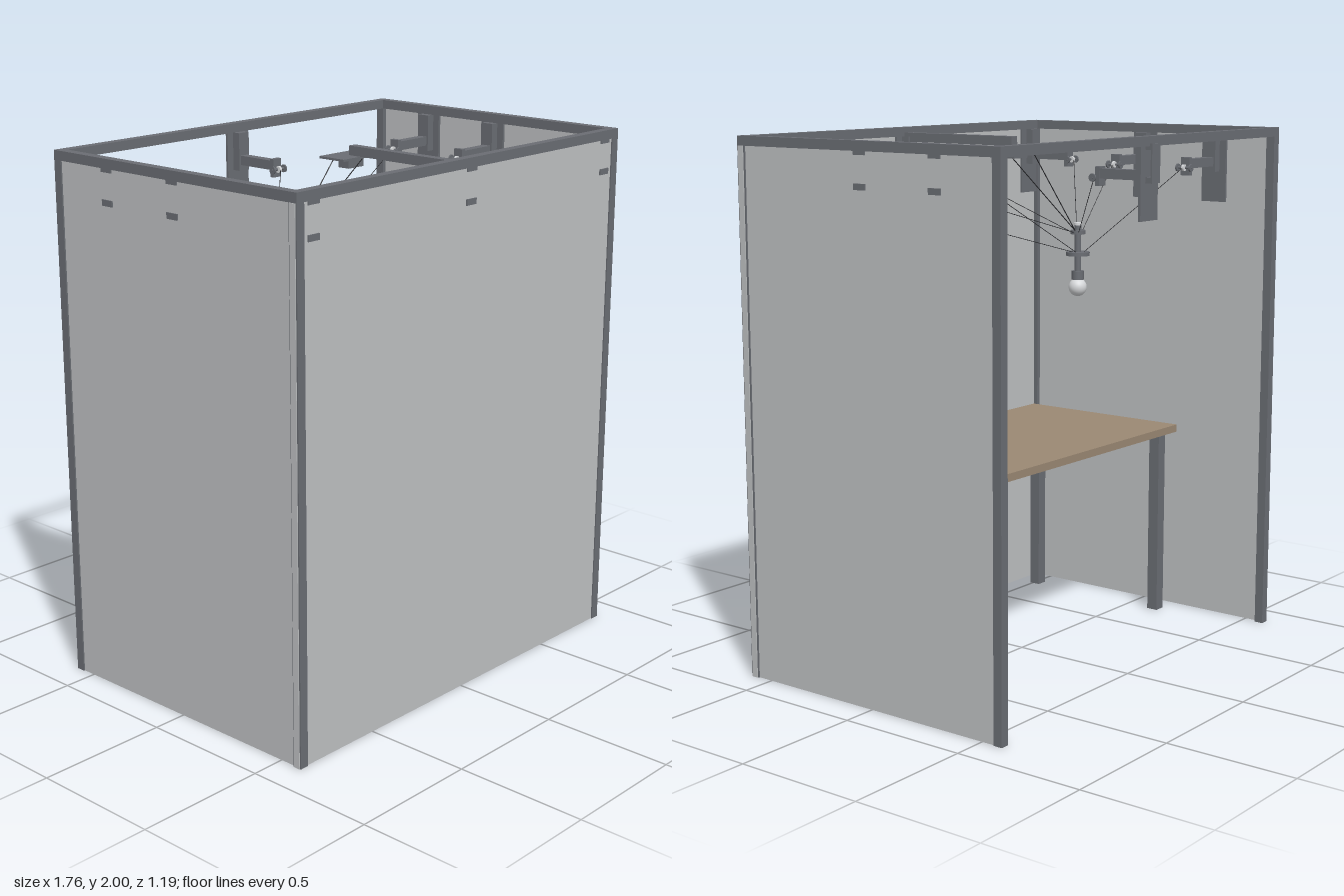
import * as THREE from 'three';

const mat = (name, color) => {
  const m = new THREE.MeshStandardMaterial({ color });
  m.name = name;
  return m;
};

export function createModel() {
  const frameGrey = mat('frame grey', 0x6a6d73);
  const panelGrey = mat('panel grey', 0xbec0c2);
  const deskBrown = mat('desk brown', 0x9a8873);
  const screenBlue = mat('screen blue', 0x4f5f76);
  const cableBlack = mat('cable black', 0x2a2b2e);
  const lightGrey = mat('light grey', 0xd6d8da);

  const root = new THREE.Group();
  root.name = 'cableRobotBooth';

  const add = (parent, name, geo, material, x, y, z) => {
    const m = new THREE.Mesh(geo, material);
    m.name = name;
    m.position.set(x, y, z);
    parent.add(m);
    return m;
  };
  // box given by its minimum and maximum corners
  const box = (parent, name, material, x0, x1, y0, y1, z0, z1) =>
    add(parent, name, new THREE.BoxGeometry(x1 - x0, y1 - y0, z1 - z0), material,
      (x0 + x1) / 2, (y0 + y1) / 2, (z0 + z1) / 2);
  const rod = (parent, name, material, a, b, r, sides = 5) => {
    const d = b.clone().sub(a);
    const m = add(parent, name, new THREE.CylinderGeometry(r, r, d.length(), sides), material, 0, 0, 0);
    m.position.copy(a).addScaledVector(d, 0.5);
    m.quaternion.setFromUnitVectors(new THREE.Vector3(0, 1, 0), d.normalize());
    return m;
  };

  // Frame: corner posts and top beams
  const X = 0.875, F = 0.597, B = -0.588, T = 0.035;
  const frame = new THREE.Group();
  frame.name = 'frame';
  root.add(frame);
  for (const s of [-1, 1]) {
    const x0 = s > 0 ? X - T : -X;
    box(frame, 'backPost', frameGrey, x0, x0 + T, 0, 2 - T, B, B + T);
    box(frame, 'frontPost', frameGrey, x0, x0 + T, 0, 2 - T, F - T, F);
    box(frame, 'sideBeam', frameGrey, x0, x0 + T, 2 - T, 2, B + T, F - T);
    // pale cover strip on the outside of the front post
    const xs = s * (X + 0.001);
    box(frame, 'postStrip', panelGrey, xs - 0.002, xs + 0.002, 0, 2 - T, F - T + 0.005, F - 0.005);
    // side wall
    const p = s * 0.864;
    box(root, 'sidePanel', panelGrey, p - 0.006, p + 0.006, 0, 2 - T, B + T, F - T);
  }
  box(frame, 'backBeam', frameGrey, -X, X, 2 - T, 2, B, B + T);
  box(frame, 'frontBeam', frameGrey, -X, X, 2 - T, 2, F - T, F);
  box(root, 'frontPanel', panelGrey, -X + T, X - T, 0, 2 - T, F - 0.017, F - 0.005);

  // Desk
  const desk = new THREE.Group();
  desk.name = 'desk';
  root.add(desk);
  box(desk, 'deskTop', deskBrown, -0.81, 0.81, 0.75, 0.78, -0.18, 0.557);
  for (const x of [-0.75, 0.75]) {
    for (const z of [-0.125, 0.49]) {
      box(desk, 'deskLeg', frameGrey, x - 0.023, x + 0.023, 0, 0.75, z - 0.023, z + 0.023);
    }
  }

  // Monitor facing the open back
  box(root, 'monitorCase', frameGrey, -0.32, 0.32, 0.81, 1.17, 0.366, 0.39);
  box(root, 'monitorScreen', screenBlue, -0.318, 0.318, 0.812, 1.168, 0.361, 0.366);
  box(root, 'monitorFoot', frameGrey, -0.05, 0.05, 0.78, 0.81, 0.368, 0.388);

  // Pulley arm; local +z points into the booth, origin on the outer frame plane
  const armY = 1.86;
  const makeArm = (x, z, angle, hookOut) => {
    const g = new THREE.Group();
    g.name = 'pulleyArm';
    g.position.set(x, 0, z);
    g.rotation.y = angle;
    root.add(g);
    box(g, 'mountPlate', frameGrey, -0.055, 0.055, 1.7, 1.97, 0.019, 0.029);
    for (const y of [1.845, 1.963]) {
      box(g, 'mountHook', frameGrey, -0.026, 0.026, y - 0.011, y + 0.011, -hookOut, 0.035);
    }
    if (hookOut > 0.005) box(g, 'outerClamp', frameGrey, -0.026, 0.026, 1.84, 1.97, -hookOut, -0.003);
    box(g, 'mountBlock', frameGrey, -0.026, 0.026, 1.82, 1.965, 0.029, 0.062);
    box(g, 'armBar', frameGrey, -0.018, 0.018, armY - 0.018, armY + 0.018, 0.06, 0.235);
    box(g, 'armHead', frameGrey, -0.02, 0.02, armY - 0.045, armY + 0.025, 0.222, 0.24);
    rod(g, 'pulleyAxle', frameGrey, new THREE.Vector3(-0.035, armY - 0.015, 0.245),
      new THREE.Vector3(0.035, armY - 0.015, 0.245), 0.005, 10);
    for (const s of [-1, 1]) {
      rod(g, 'axleCap', frameGrey, new THREE.Vector3(s * 0.027, armY - 0.015, 0.245),
        new THREE.Vector3(s * 0.033, armY - 0.015, 0.245), 0.015, 14);
    }
    rod(g, 'pulleyWheel', lightGrey, new THREE.Vector3(-0.005, armY - 0.015, 0.248),
      new THREE.Vector3(0.005, armY - 0.015, 0.248), 0.013, 14);
    g.updateMatrix();
    return new THREE.Vector3(0, armY - 0.015, 0.258).applyMatrix4(g.matrix);
  };
  const anchors = [makeArm(0, B, 0, 0.009)];
  for (const x of [-0.795, 0, 0.795]) anchors.push(makeArm(x, F, Math.PI, 0));
  for (const s of [-1, 1]) {
    for (const z of [0.018, -0.312]) anchors.push(makeArm(s * X, z, -s * Math.PI / 2, 0));
  }

  // Overhead boom with plate and sensor
  box(root, 'boom', frameGrey, -0.017, 0.017, 1.945, 1.98, 0.035, F - T);
  box(root, 'boomPlate', frameGrey, -0.105, 0.105, 1.937, 1.945, -0.03, 0.09);
  box(root, 'sensorBody', frameGrey, -0.04, 0.04, 1.9, 1.937, 0.005, 0.055);
  box(root, 'sensorTab', lightGrey, -0.01, 0.01, 1.925, 1.94, -0.055, -0.03);

  // Suspended end effector
  const eff = new THREE.Group();
  eff.name = 'endEffector';
  eff.position.set(-0.4, 0, 0.03);
  root.add(eff);
  const disc = (name, m, r, y0, y1) =>
    add(eff, name, new THREE.CylinderGeometry(r, r, y1 - y0, 24), m, 0, (y0 + y1) / 2, 0);
  disc('upperDisc', frameGrey, 0.03, 1.585, 1.6);
  disc('core', frameGrey, 0.013, 1.42, 1.62);
  disc('topCap', lightGrey, 0.016, 1.62, 1.63);
  disc('lowerDisc', frameGrey, 0.047, 1.5, 1.515);
  disc('wrist', frameGrey, 0.024, 1.405, 1.44);
  add(eff, 'ballTip', new THREE.SphereGeometry(0.036, 24, 16), lightGrey, 0, 1.375, 0);

  // Drive cables from every arm, then two supply cables from the boom plate
  anchors.forEach((a, i) => {
    const end = new THREE.Vector3(a.x + 0.4, 0, a.z - 0.03).setLength(0.025);
    end.add(new THREE.Vector3(-0.4, i % 2 ? 1.515 : 1.592, 0.03));
    rod(root, 'driveCable', cableBlack, a, end, 0.0013);
  });
  for (const z of [-0.045, 0.085]) {
    rod(root, 'supplyCable', cableBlack, new THREE.Vector3(0, 1.935, z),
      new THREE.Vector3(-0.38, 1.6, 0.03), 0.002);
  }
  return root;
}
